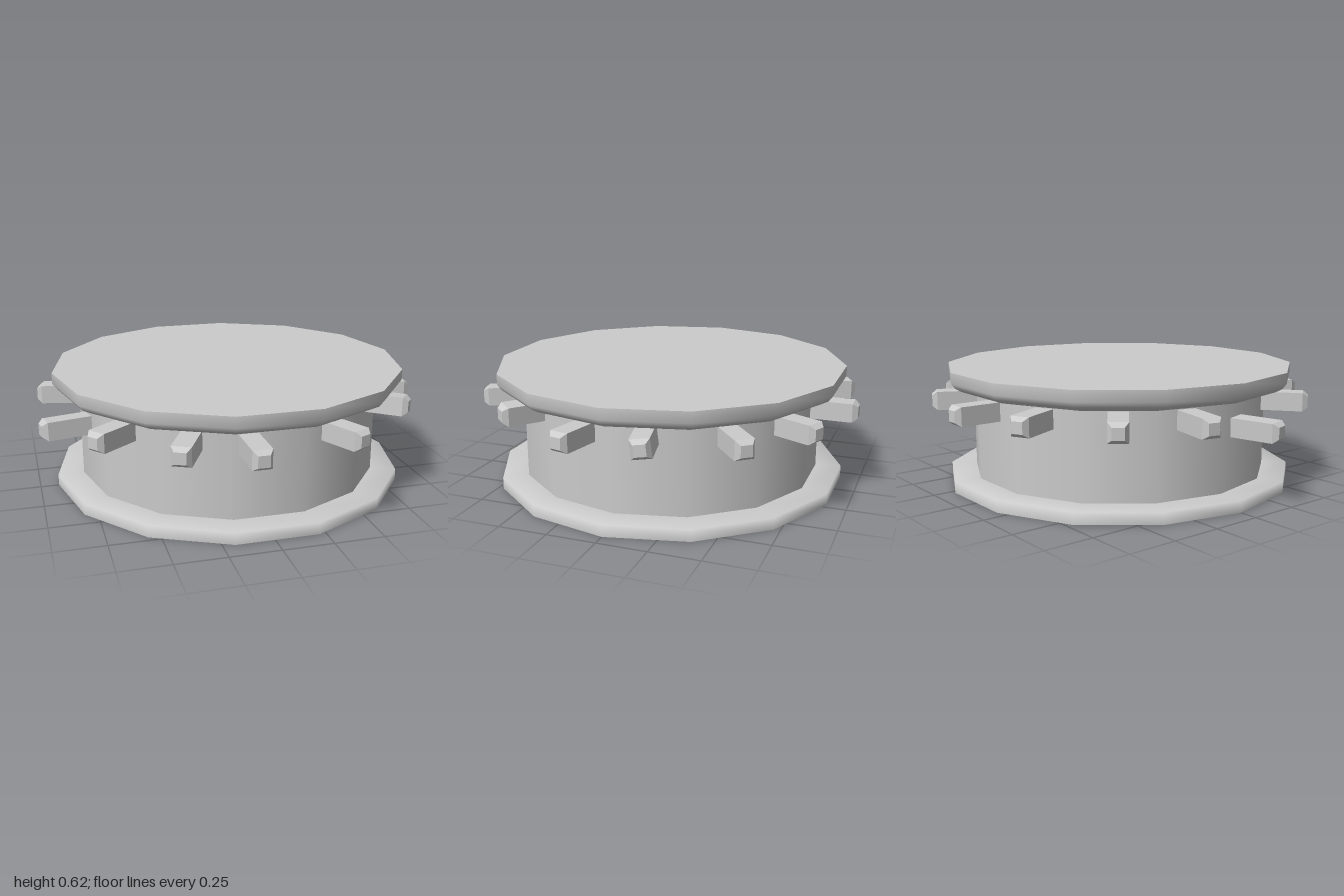
import * as THREE from 'three';

const SIDES = 14;
const material = new THREE.MeshStandardMaterial({ color: 0xcccccc });
const shellMaterial = new THREE.MeshStandardMaterial({ color: 0xcccccc, side: THREE.DoubleSide });
const pegMaterial = new THREE.MeshStandardMaterial({ color: 0xcccccc, flatShading: true });

// Turned 14-sided part with a corner on the x axis
function turned(name, profile, surface = material) {
  const points = profile.map(([r, y]) => new THREE.Vector2(r, y));
  const mesh = new THREE.Mesh(new THREE.LatheGeometry(points, SIDES, Math.PI / 2), surface);
  mesh.name = name;
  return mesh;
}

// Flat 14-sided lid facing up (1) or down (-1)
function lid(name, radius, y, facing) {
  const mesh = new THREE.Mesh(new THREE.CircleGeometry(radius, SIDES), material);
  mesh.rotation.x = -facing * Math.PI / 2;
  mesh.position.y = y;
  mesh.name = name;
  return mesh;
}

// Square peg along +z, tip at the origin, with a bevelled end
function pegGeometry(width, length, bevel) {
  const geometry = new THREE.BoxGeometry(width, width, length, 1, 1, 2);
  const p = geometry.attributes.position;
  for (let i = 0; i < p.count; i++) {
    const z = p.getZ(i);
    if (z > 0.01) p.setXYZ(i, p.getX(i) * 0.6, p.getY(i) * 0.6, 0);
    else p.setZ(i, z < -0.01 ? -length : -bevel);
  }
  geometry.computeVertexNormals();
  return geometry;
}

export function createModel() {
  const model = new THREE.Group();
  model.name = 'drumWithPegs';

  // Spool body: thin base flange with an open underside, drum and flared top plate
  const body = new THREE.Group();
  body.name = 'body';
  body.position.x = 0.014;
  body.add(
    turned('baseFlange', [[0.92, 0], [0.92, 0.06], [0.78, 0.06]], shellMaterial),
    lid('drumFloor', 0.785, 0.05, -1),
    turned('drumWall', [[0.785, 0.05], [0.785, 0.5]]),
    turned('topPlateUnderside', [[0.77, 0.493], [0.865, 0.514]]),
    turned('topPlateRim', [[0.865, 0.514], [0.9, 0.533], [0.92, 0.56], [0.92, 0.615]]),
    lid('topPlate', 0.92, 0.615, 1)
  );
  model.add(body);

  // Pegs, slightly uneven: tip x, y, z and roll, clockwise from the back
  const pegs = [
    [0.023, 0.44, -1.0, 0], [0.46, 0.445, -0.885, 0], [0.78, 0.44, -0.63, 0],
    [0.973, 0.455, -0.208, 0.12], [0.985, 0.445, 0.19, 0], [0.8, 0.478, 0.58, -0.08],
    [0.42, 0.445, 0.905, 0], [-0.093, 0.435, 1.0, 0], [-0.44, 0.445, 0.895, 0],
    [-0.78, 0.445, 0.61, 0], [-0.988, 0.375, 0.175, 0.04], [-0.968, 0.445, -0.248, 0],
    [-0.782, 0.445, -0.637, 0], [-0.408, 0.445, -0.908, 0]
  ];
  const geometry = pegGeometry(0.095, 0.3, 0.026);
  pegs.forEach(([x, y, z, roll], i) => {
    const peg = new THREE.Mesh(geometry, pegMaterial);
    peg.name = `peg${i + 1}`;
    peg.position.set(x, y, z);
    peg.rotation.set(0, Math.PI - (i * 2 * Math.PI) / SIDES, roll, 'YXZ');
    model.add(peg);
  });
  return model;
}
